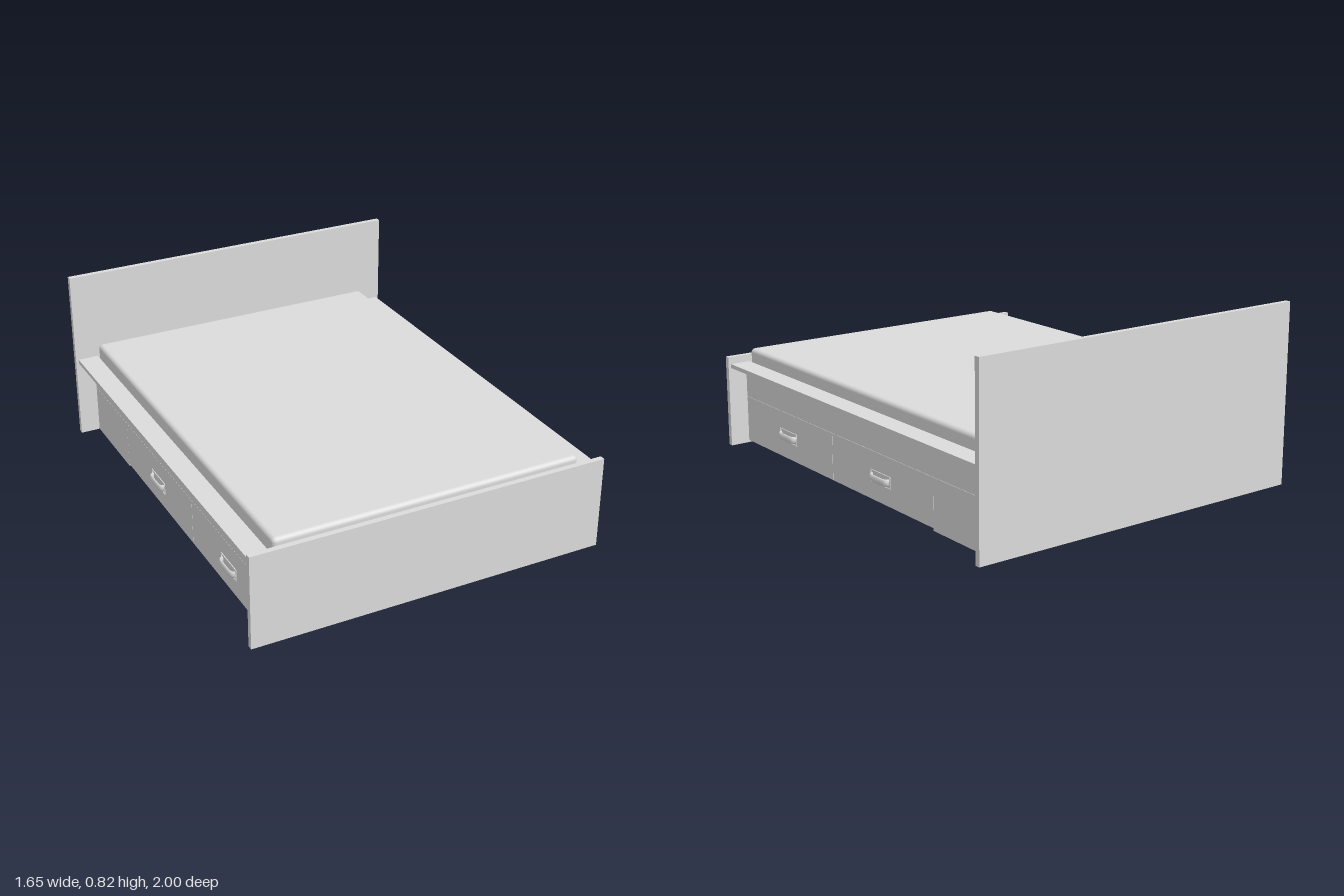
import * as THREE from 'three';
import { RoundedBoxGeometry } from 'three/addons/geometries/RoundedBoxGeometry.js';

export function createModel() {
  const model = new THREE.Group();
  model.name = 'storageBed';
  const grey = new THREE.MeshStandardMaterial({ color: 0xdbdbdb });
  grey.name = 'grey';

  const add = (parent, name, geometry) => {
    const mesh = new THREE.Mesh(geometry, grey);
    mesh.name = name;
    parent.add(mesh);
    return mesh;
  };
  // Box given by its limits on each axis
  const box = (parent, name, [x0, x1], [y0, y1], [z0, z1]) => {
    const mesh = add(parent, name, new THREE.BoxGeometry(Math.abs(x1 - x0), y1 - y0, z1 - z0));
    mesh.position.set((x0 + x1) / 2, (y0 + y1) / 2, (z0 + z1) / 2);
    return mesh;
  };
  const inner = 0.715, outer = 0.733; // faces of the side boards

  // End boards, base panel and the mattress sunk between the rails
  box(model, 'headboard', [-0.825, 0.825], [0, 0.82], [-1, -0.975]);
  box(model, 'footboard', [-0.825, 0.825], [0, 0.43], [0.975, 1]);
  box(model, 'basePanel', [-inner, inner], [0.296, 0.314], [-0.975, 0.975]);
  const mattress = add(model, 'mattress', new RoundedBoxGeometry(1.422, 0.15, 1.945, 5, 0.02));
  mattress.position.set(0, 0.385, 0);

  // Pull: thin rim, with a bowed bar across it
  const addHandle = (parent, s, z) => {
    const handle = new THREE.Group();
    handle.name = 'handle';
    handle.position.set(s * outer, 0.117, z);
    parent.add(handle);
    for (const k of [-1, 1]) {
      box(handle, 'handleRimLong', [0, s * 0.004], [k * 0.026 - 0.002, k * 0.026 + 0.002], [-0.075, 0.075]);
      box(handle, 'handleRimShort', [0, s * 0.004], [-0.026, 0.026], [k * 0.073 - 0.002, k * 0.073 + 0.002]);
    }
    const bow = new THREE.CatmullRomCurve3([
      [0, -0.065], [0.014, -0.056], [0.019, 0], [0.014, 0.056], [0, 0.065],
    ].map(([x, zz]) => new THREE.Vector3(s * x, 0, zz)));
    const grip = add(handle, 'handleGrip', new THREE.TubeGeometry(bow, 20, 0.007, 8));
    grip.scale.y = 2.3;
  };

  // Twin-disc caster rolling in the direction of the drawer
  const addCaster = (parent, x, z) => {
    for (const dz of [-0.0145, 0.0145]) {
      const wheel = add(parent, 'casterWheel', new THREE.CylinderGeometry(0.018, 0.018, 0.01, 16));
      wheel.rotation.x = Math.PI / 2;
      wheel.position.set(x, 0.018, z + dz);
    }
    const axle = add(parent, 'casterAxle', new THREE.CylinderGeometry(0.005, 0.005, 0.044, 8));
    axle.rotation.x = Math.PI / 2;
    axle.position.set(x, 0.02, z);
  };

  const addDrawer = (parent, s, z0, z1) => {
    const drawer = new THREE.Group();
    drawer.name = 'drawer';
    parent.add(drawer);
    const a = z0 + 0.001, b = z1 - 0.001;
    box(drawer, 'drawerFront', [s * inner, s * outer], [0.011, 0.227], [a, b]);
    box(drawer, 'drawerBack', [s * 0.307, s * 0.325], [0.011, 0.15], [a, b]);
    box(drawer, 'drawerSide', [s * 0.325, s * inner], [0.011, 0.15], [a, a + 0.018]);
    box(drawer, 'drawerSide', [s * 0.325, s * inner], [0.011, 0.15], [b - 0.018, b]);
    box(drawer, 'drawerBottom', [s * 0.325, s * inner], [0.04, 0.05], [a + 0.018, b - 0.018]);
    // Runner beside each pair of casters
    for (const [zc, inward] of [[z0 + 0.1, 1], [z1 - 0.095, -1]]) {
      const zr = zc + inward * 0.032;
      box(drawer, 'casterRunner', [s * 0.325, s * inner], [0.016, 0.04], [zr - 0.007, zr + 0.007]);
      for (const x of [0.37, 0.665]) addCaster(drawer, s * x, zc);
    }
    addHandle(drawer, s, (z0 + z1) / 2);
  };

  // Both long sides: ledge, rail, fixed panel and two drawers
  for (const s of [-1, 1]) {
    const side = new THREE.Group();
    side.name = s > 0 ? 'leftSide' : 'rightSide';
    model.add(side);
    box(side, 'ledge', [s * inner, s * 0.812], [0.377, 0.396], [-0.975, 0.975]);
    box(side, 'sideRail', [s * inner, s * outer], [0.228, 0.377], [-0.975, 0.975]);
    box(side, 'fixedPanel', [s * inner, s * outer], [0, 0.227], [-0.975, -0.566]);
    addDrawer(side, s, -0.566, 0.206);
    addDrawer(side, s, 0.206, 0.975);
    // Screw heads on the inside of the fixed panel
    for (const z of [-0.9, -0.64]) for (const y of [0.05, 0.17]) {
      const screw = add(side, 'screw', new THREE.CylinderGeometry(0.006, 0.006, 0.004, 10));
      screw.rotation.z = Math.PI / 2;
      screw.position.set(s * (inner - 0.001), y, z);
    }
  }
  return model;
}
